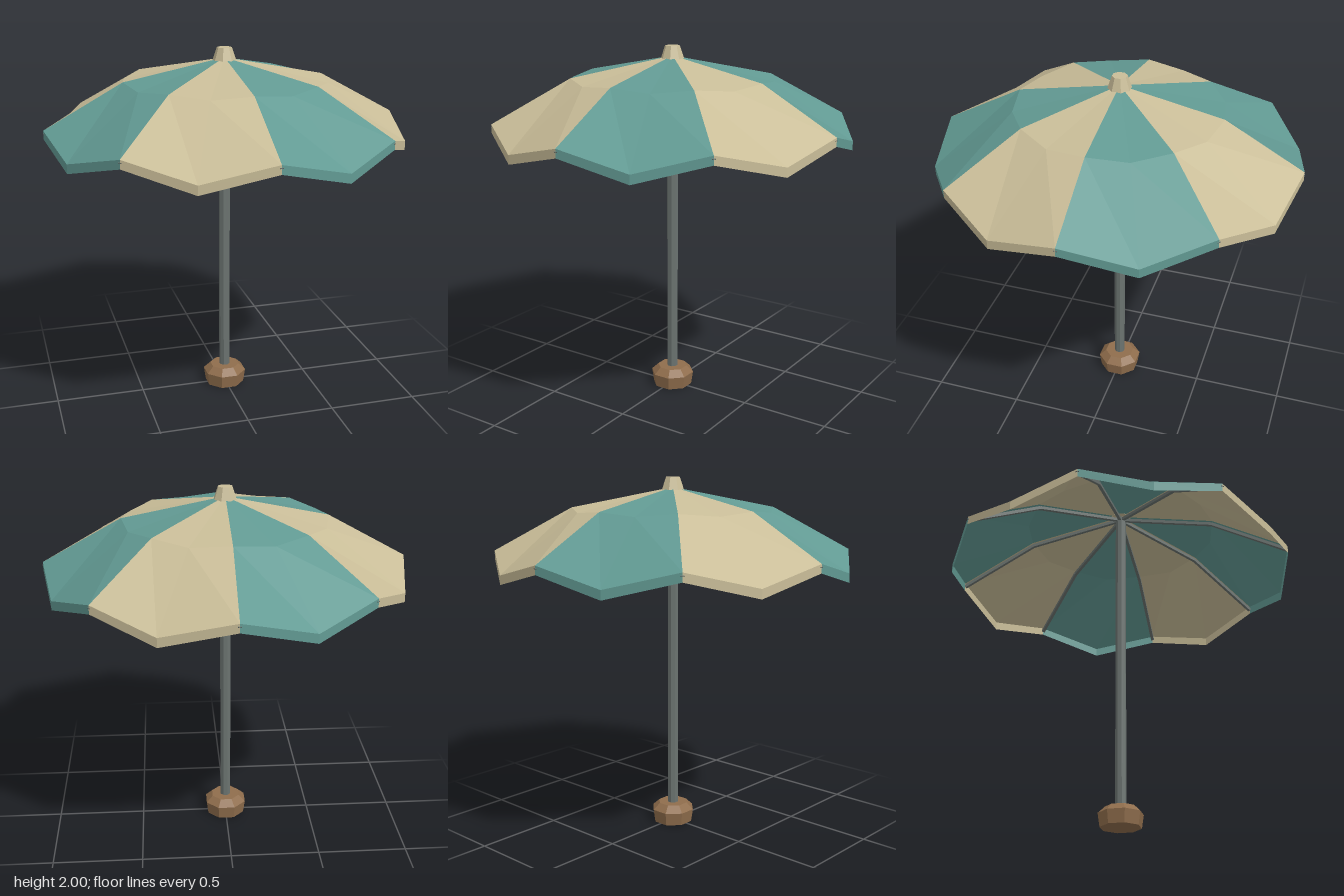
import * as THREE from 'three';

const material = (name, color, extra = {}) =>
  new THREE.MeshStandardMaterial({ name, color, flatShading: true, ...extra });

// Point at step i of 16 around the canopy; even steps lie on a rib
const STEP = Math.PI / 8;
const around = (i, r, ribY, midY) =>
  new THREE.Vector3(r * Math.cos(i * STEP), i % 2 ? midY : ribY, r * Math.sin(i * STEP));

// The canopy's rings from the crown out to the hem of the valance
const apex = new THREE.Vector3(0, 1.945, 0);
const shoulder = i => around(i, 0.56, 1.835, 1.818);
const rim = i => around(i, 0.99, 1.6, 1.51);
const hem = i => around(i, 0.99, 1.553, 1.46);

function panelGeometry(panel) {
  const points = [];
  const quad = (upper, lower, i) => points.push(
    upper(i), upper(i + 1), lower(i),
    upper(i + 1), lower(i + 1), lower(i));
  for (let i = panel * 2; i < panel * 2 + 2; i++) {
    points.push(apex, shoulder(i + 1), shoulder(i));
    quad(shoulder, rim, i);
    quad(rim, hem, i);
  }
  const geometry = new THREE.BufferGeometry().setFromPoints(points);
  geometry.computeVertexNormals();
  return geometry;
}

export function createModel() {
  const cream = material('cream fabric', 0xc9bd98, { side: THREE.DoubleSide });
  const teal = material('teal fabric', 0x629a93, { side: THREE.DoubleSide });
  const metal = material('grey metal', 0x6b7370);
  const wood = material('brown wood', 0x8f6d4c);

  const model = new THREE.Group();
  model.name = 'parasol';

  const add = (name, geometry, mat, parent = model) => {
    const mesh = new THREE.Mesh(geometry, mat);
    mesh.name = name;
    parent.add(mesh);
    return mesh;
  };
  // Eight-sided tapered piece with flats facing the axes
  const octagon = (name, top, bottom, y0, y1, mat) => {
    const geometry = new THREE.CylinderGeometry(top, bottom, y1 - y0, 8);
    geometry.rotateY(STEP);
    geometry.translate(0, (y0 + y1) / 2, 0);
    return add(name, geometry, mat);
  };

  // Foot with a chamfered top
  const foot = new THREE.LatheGeometry([
    new THREE.Vector2(0, 0), new THREE.Vector2(0.114, 0),
    new THREE.Vector2(0.125, 0.075), new THREE.Vector2(0.085, 0.112),
    new THREE.Vector2(0, 0.112)], 8);
  foot.rotateY(STEP);
  add('foot', foot, wood);

  octagon('pole', 0.031, 0.031, 0.1, 1.93, metal);
  octagon('finial', 0.041, 0.065, 1.93, 2.0, cream);

  // Canopy panels in alternating colours
  const canopy = new THREE.Group();
  canopy.name = 'canopy';
  model.add(canopy);
  for (let p = 0; p < 8; p++) {
    add('canopyPanel', panelGeometry(p), p % 2 ? teal : cream, canopy);
  }

  // Bent ribs hugging the underside of the seams
  const ribs = new THREE.Group();
  ribs.name = 'ribs';
  model.add(ribs);
  const bar = (name, from, to) => {
    const mesh = add(name, new THREE.BoxGeometry(0.018, 0.018, from.distanceTo(to)), metal, ribs);
    mesh.position.copy(from).lerp(to, 0.5);
    mesh.lookAt(to);
  };
  for (let i = 0; i < 16; i += 2) {
    const start = around(i, 0.02, 1.917, 0);
    const bend = around(i, 0.555, 1.812, 0);
    const tip = around(i, 0.987, 1.577, 0);
    bar('innerRib', start, bend);
    bar('outerRib', bend, tip);
  }
  return model;
}
